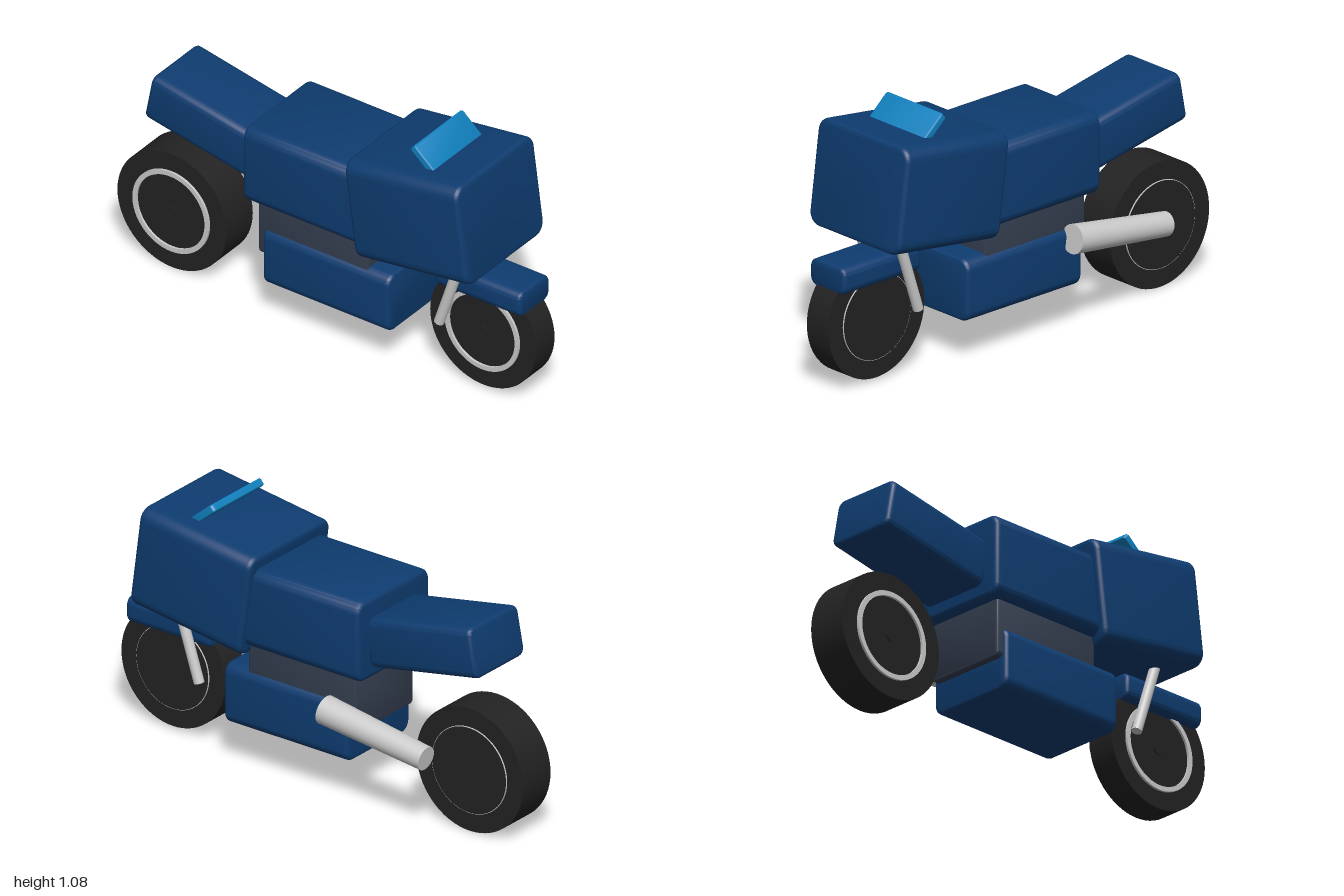
import * as THREE from 'three';
import { toCreasedNormals } from 'three/addons/utils/BufferGeometryUtils.js';

const CX = -0.02; // centre plane of the bike, the exhaust hangs out to +x

const material = (name, color) => {
  const m = new THREE.MeshStandardMaterial({ color });
  m.name = name;
  return m;
};

// Box rounded in x/y, with a small bevel on its front and back ends.
function roundedBlock(w, h, d, r, bevel) {
  const x = w / 2 - bevel, y = h / 2 - bevel, q = Math.max(r - bevel, 0.004);
  const s = new THREE.Shape();
  s.absarc(x - q, y - q, q, 0, Math.PI / 2);
  s.absarc(-x + q, y - q, q, Math.PI / 2, Math.PI);
  s.absarc(-x + q, -y + q, q, Math.PI, Math.PI * 1.5);
  s.absarc(x - q, -y + q, q, Math.PI * 1.5, Math.PI * 2);
  s.closePath();
  const g = new THREE.ExtrudeGeometry(s, {
    depth: d - 2 * bevel, bevelEnabled: true, bevelSize: bevel,
    bevelThickness: bevel, bevelSegments: 4, curveSegments: 6,
  });
  g.translate(0, 0, -d / 2 + bevel);
  return toCreasedNormals(g, 0.6);
}

export function createModel() {
  const model = new THREE.Group();
  model.name = 'motorcycle';

  const navy = material('navy paint', 0x0e3c70);
  const blue = material('blue screen', 0x1080bd);
  const rubber = material('black rubber', 0x222222);
  const metal = material('light metal', 0xcacaca);
  const slate = material('slate engine', 0x343e4f);

  const add = (name, geometry, mat, x, y, z, parent = model) => {
    const m = new THREE.Mesh(geometry, mat);
    m.name = name;
    m.position.set(x, y, z);
    parent.add(m);
    return m;
  };

  const block = (name, mat, size, pos, r, bevel, tilt = 0) => {
    const m = add(name, roundedBlock(...size, r, bevel), mat, ...pos);
    m.rotation.x = tilt;
    return m;
  };

  // Bodywork
  block('frontFairing', navy, [0.52, 0.44, 0.55], [CX, 0.768, 0.513], 0.055, 0.02, -0.132);
  block('fuelTank', navy, [0.46, 0.345, 0.6], [CX, 0.7225, 0.005], 0.05, 0.02);
  block('tailSeat', navy, [0.315, 0.212, 0.535], [CX, 0.751, -0.5425], 0.035, 0.018, 0.19);
  block('bellyPan', navy, [0.402, 0.26, 0.61], [CX, 0.31, 0.085], 0.045, 0.018);
  block('frontFender', navy, [0.2, 0.112, 0.41], [CX, 0.47, 0.745], 0.035, 0.015);
  block('engine', slate, [0.37, 0.29, 0.53], [CX, 0.455, 0.015], 0.02, 0.01);
  block('windscreen', blue, [0.322, 0.16, 0.032], [CX, 1.015, 0.534], 0.012, 0.006, -0.86);

  // Round bar between two points
  const bar = (name, a, b, ra, rb) => {
    const from = new THREE.Vector3(...a), to = new THREE.Vector3(...b);
    const dir = to.clone().sub(from);
    const m = add(name, new THREE.CylinderGeometry(rb, ra, dir.length(), 32), metal,
      ...from.clone().add(to).multiplyScalar(0.5));
    m.quaternion.setFromUnitVectors(new THREE.Vector3(0, 1, 0), dir.normalize());
  };
  for (const side of [-1, 1]) {
    const x = CX + side * 0.117;
    bar(side > 0 ? 'leftFork' : 'rightFork', [x, 0.27, 0.574], [x, 0.68, 0.708], 0.0215, 0.0215);
  }
  bar('exhaust', [0.215, 0.405, -0.137], [0.213, 0.336, -0.634], 0.06, 0.05);

  // Wheels: tyre drum, thin metal rim, dark face discs
  const wheel = (name, radius, width, y, z) => {
    const g = new THREE.Group();
    g.name = name;
    g.position.set(CX, y, z);
    model.add(g);
    const rim = radius * 0.7, half = width / 2;
    const drum = (part, r, len, mat, x) =>
      add(part, new THREE.CylinderGeometry(r, r, len, 64).rotateZ(Math.PI / 2), mat, x, 0, 0, g);
    drum('tyre', radius, width, rubber, 0);
    // raised ring on the -x face
    const ring = new THREE.LatheGeometry([
      [rim * 0.89, 0], [rim * 0.89, 0.01], [rim, 0.01], [rim, 0],
    ].map(p => new THREE.Vector2(...p)), 64);
    const flat = toCreasedNormals(ring, 0.6).rotateZ(Math.PI / 2);
    const ringMat = add('rimRing', flat, metal, -half, 0, 0, g);
    ringMat.material = rimMetal;
    drum('hub', 0.025, 0.006, rubber, -half - 0.002);
    // nearly hidden rim on the +x face
    drum('rimEdge', rim, 0.005, metal, half + 0.0025);
    drum('wheelCover', rim * 0.988, 0.006, rubber, half + 0.003);
  };
  const rimMetal = metal;
  rimMetal.side = THREE.DoubleSide;
  wheel('frontWheel', 0.255, 0.123, 0.268, 0.745);
  wheel('rearWheel', 0.263, 0.174, 0.263, -0.737);

  return model;
}
